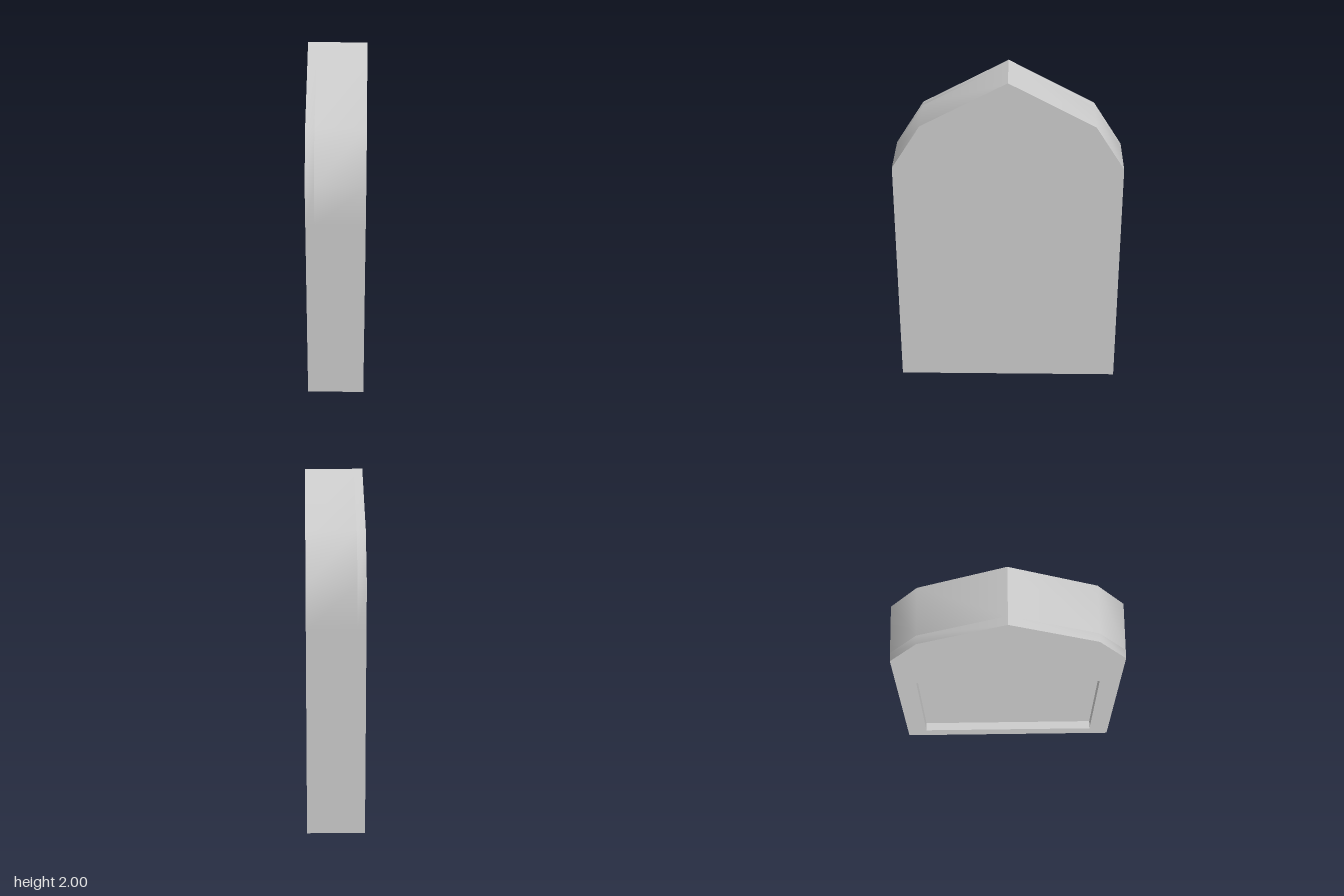
import * as THREE from 'three';
import { toCreasedNormals } from 'three/addons/utils/BufferGeometryUtils.js';

const THICKNESS = 0.333;
const RECESS = 0.05;

// Pointed outline of the slab, drawn with z across and y up
function outline() {
  const half = [[0.667, 0], [0.667, 1.2], [0.667, 1.467], [0.5, 1.733]];
  const mirrored = half.map(([z, y]) => [-z, y]).reverse();
  return new THREE.Shape(
    [...half, [0, 2], ...mirrored].map(([z, y]) => new THREE.Vector2(z, y))
  );
}

// Extrudes a z/y shape towards -x, starting at startX
function layer(name, shape, startX, depth, material) {
  const extruded = new THREE.ExtrudeGeometry(shape, { depth, bevelEnabled: false });
  extruded.rotateY(-Math.PI / 2).translate(startX, 0, 0);
  const mesh = new THREE.Mesh(toCreasedNormals(extruded, 0.7), material);
  mesh.name = name;
  return mesh;
}

export function createModel() {
  const group = new THREE.Group();
  group.name = 'pointedSlab';
  const material = new THREE.MeshStandardMaterial({ color: 0xcccccc });

  // Solid slab, whose -x face is the floor of the recess
  const bodyDepth = THICKNESS - RECESS;
  group.add(layer('slabBody', outline(), THICKNESS / 2, bodyDepth, material));

  // Outer layer with the rectangular panel opening
  const frame = outline();
  const [w, bottom, top] = [0.545, 0.11, 1.08];
  frame.holes.push(new THREE.Path([
    new THREE.Vector2(-w, bottom), new THREE.Vector2(-w, top),
    new THREE.Vector2(w, top), new THREE.Vector2(w, bottom),
  ]));
  group.add(layer('recessFrame', frame, THICKNESS / 2 - bodyDepth, RECESS, material));

  return group;
}
